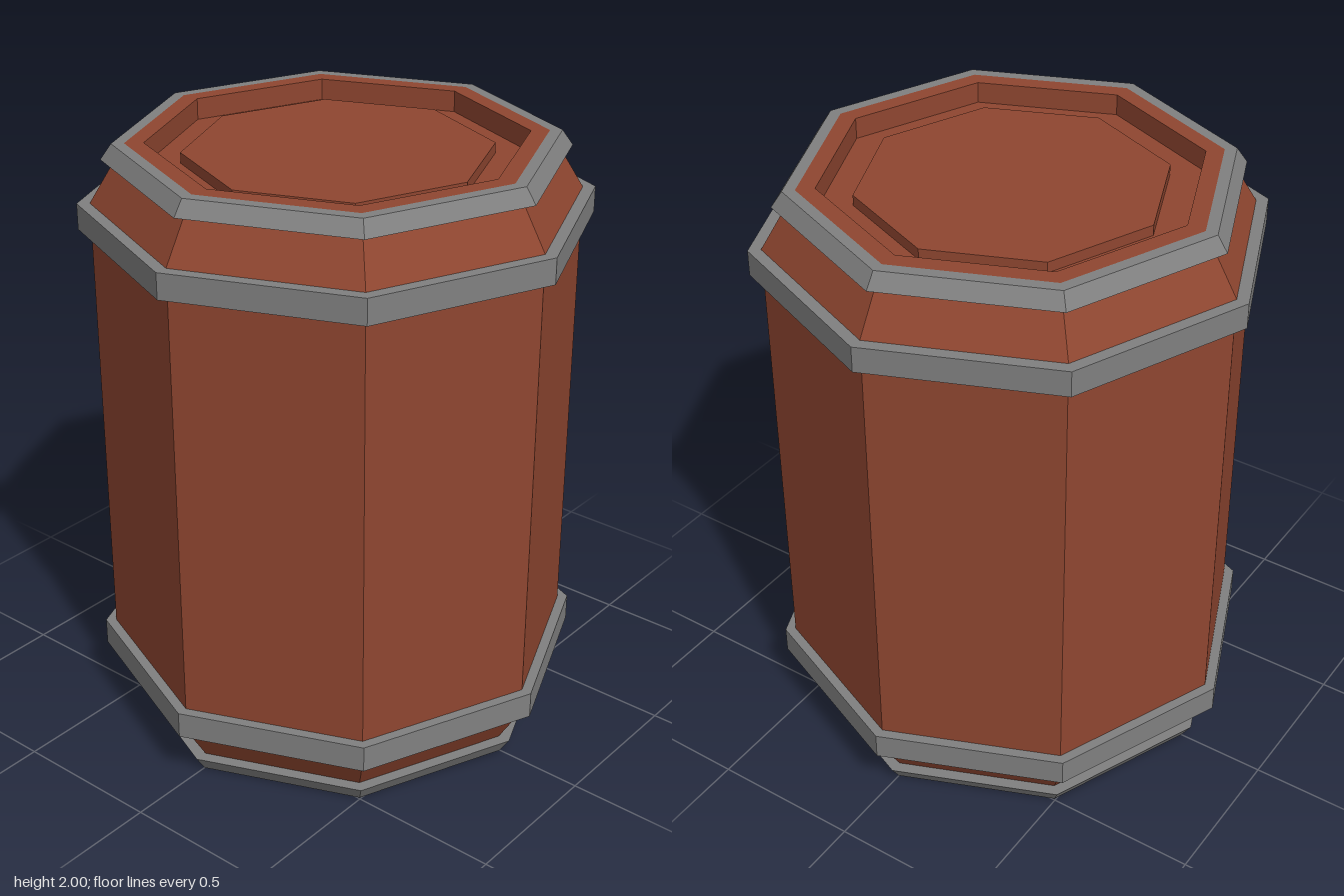
import * as THREE from 'three';

const SIDES = 8;

export function createModel() {
  const group = new THREE.Group();
  const wood = new THREE.MeshStandardMaterial({ color: 0x8f4630, flatShading: true });
  const metal = new THREE.MeshStandardMaterial({ color: 0x808080, flatShading: true });

  // Eight-sided turned part from [radius, height] pairs, listed bottom to top
  function turned(name, profile, material) {
    const points = profile.map(([r, y]) => new THREE.Vector2(r, y));
    const mesh = new THREE.Mesh(new THREE.LatheGeometry(points, SIDES), material);
    mesh.name = name;
    group.add(mesh);
  }

  // Closed hoop: inner and outer radius at its bottom and top edges
  function hoop(name, y0, y1, in0, out0, in1, out1) {
    turned(name, [[in0, y0], [out0, y0], [out1, y1], [in1, y1], [in0, y0]], metal);
  }

  // Barrel with chamfered ends, recessed base and recessed lid with a raised panel
  turned('barrelBody', [
    [0, 0.065], [0.6, 0.065], [0.6, 0], [0.66, 0],
    [0.775, 0.19], [0.775, 1.81],
    [0.66, 2], [0.6, 2], [0.6, 1.93],
    [0.49, 1.93], [0.49, 1.965], [0, 1.965],
  ], wood);

  // Wide hoops around the body
  hoop('lowerHoop', 0.19, 0.28, 0.75, 0.81, 0.75, 0.81);
  hoop('upperHoop', 1.725, 1.81, 0.75, 0.816, 0.75, 0.816);

  // Slanted rims at both ends
  hoop('bottomRim', 0, 0.055, 0.66, 0.7, 0.67, 0.735);
  hoop('topRim', 1.95, 2, 0.67, 0.735, 0.66, 0.7);

  return group;
}
